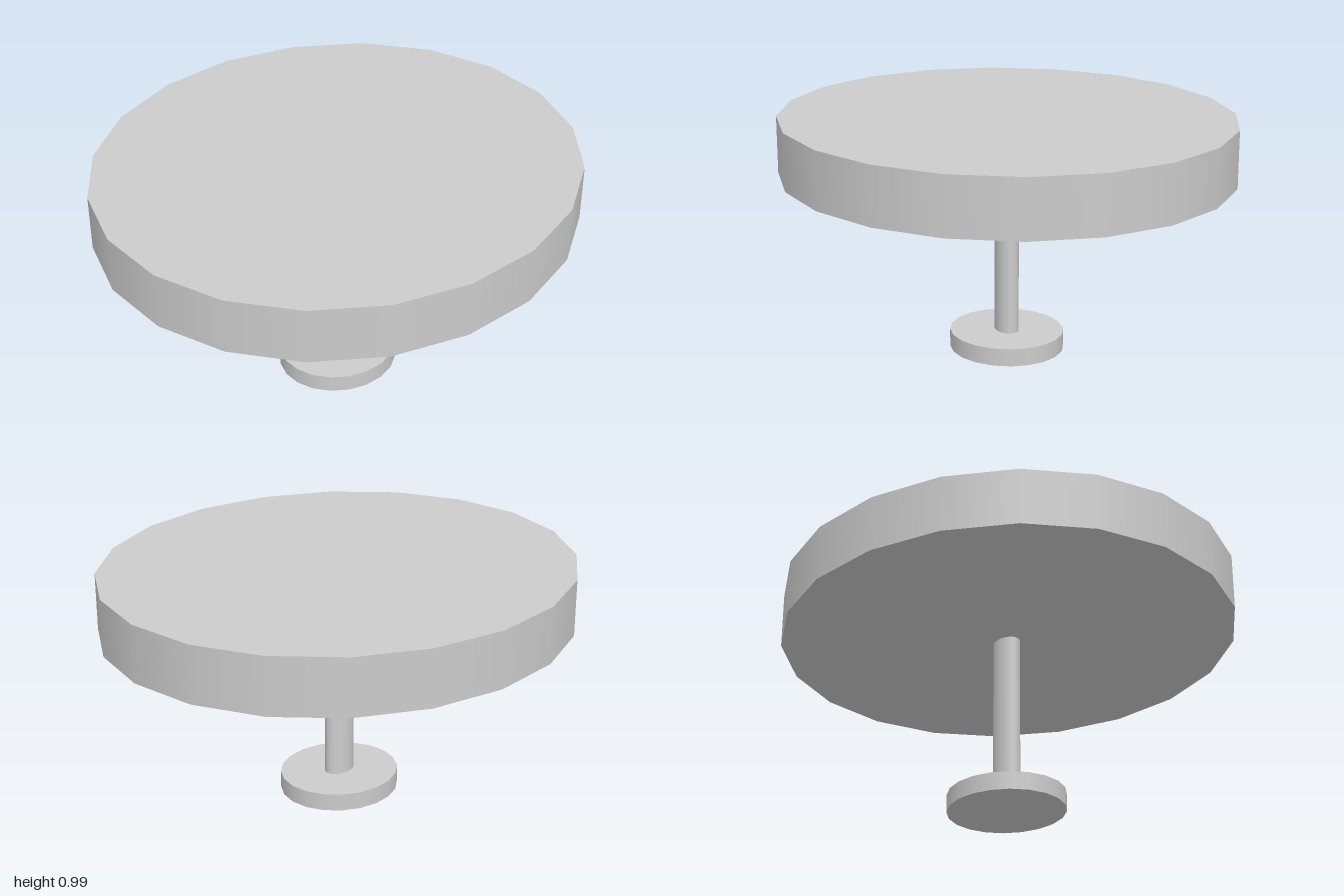
import * as THREE from 'three';

const SIDES = 20;

export function createModel() {
  const group = new THREE.Group();
  const material = new THREE.MeshStandardMaterial({ color: 0xcccccc });

  // Upright disc with an elliptical outline, from y0 to y1
  function disc(name, rx, rz, y0, y1) {
    const geometry = new THREE.CylinderGeometry(1, 1, y1 - y0, SIDES);
    geometry.scale(rx, 1, rz);
    geometry.translate(0, (y0 + y1) / 2, 0);
    const mesh = new THREE.Mesh(geometry, material);
    mesh.name = name;
    group.add(mesh);
  }

  disc('tableTop', 1, 0.925, 0.758, 0.994);
  disc('post', 0.068, 0.048, 0.074, 0.758);
  disc('foot', 0.254, 0.236, 0, 0.074);

  return group;
}
